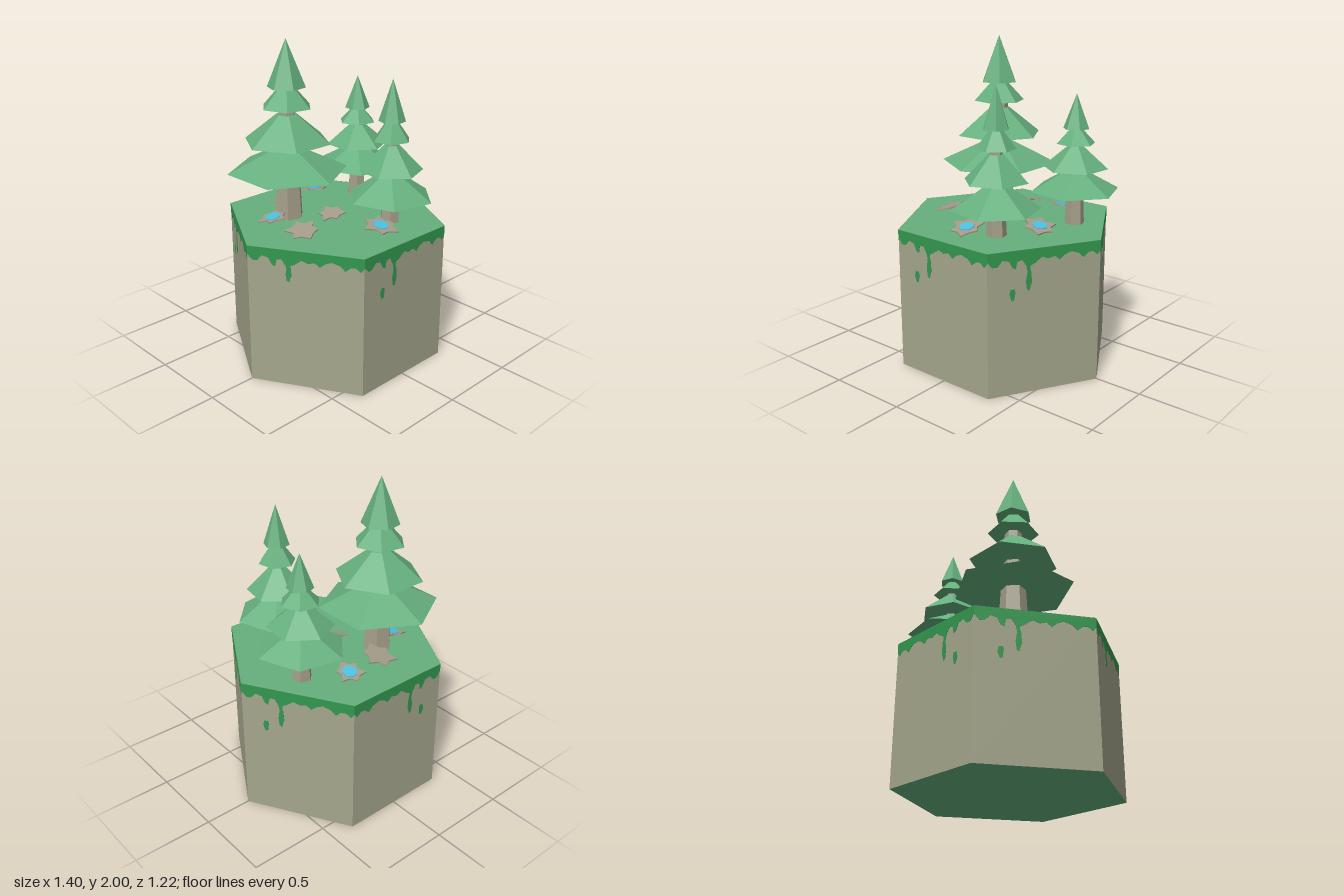
import * as THREE from 'three';

const mat = (name, color, side = THREE.FrontSide) => {
  const m = new THREE.MeshStandardMaterial({ color, side, flatShading: true });
  m.name = name;
  return m;
};

const TOP = 0.89, R = 0.7, APOTHEM = R * Math.sqrt(3) / 2;
const rad = THREE.MathUtils.degToRad;

export function createModel() {
  const green = mat('leafGreen', 0x66b07e);
  const moss = mat('mossGreen', 0x33984f);
  const stone = mat('stone', 0xa5a68c);
  const bark = mat('bark', 0xa59f8a);
  const rock = mat('rock', 0xa39a88);
  const water = mat('water', 0x4dbfdf);

  const model = new THREE.Group();
  const add = (parent, name, geometry, material) => {
    const mesh = new THREE.Mesh(geometry, material);
    mesh.name = name;
    parent.add(mesh);
    return mesh;
  };

  // Six-sided drum whose first corner sits at an angle measured from +x to +z
  const drum = (rTop, rBottom, y0, y1, angle) =>
    new THREE.CylinderGeometry(rTop, rBottom, y1 - y0, 6, 1, false, rad(90 - angle))
      .translate(0, (y0 + y1) / 2, 0);

  // Stone block with green top and bottom
  add(model, 'block', drum(R, R, 0, TOP, 0), [stone, green, green]);

  // Moss edge: x runs -0.35..0.35 along a side, y is the drop below the rim
  const edge = [
    [0.35, 0.06], [0.33, 0.085], [0.30, 0.06], [0.27, 0.065], [0.24, 0.09], [0.21, 0.06],
    [0.16, 0.045], [0.12, 0.06], [0.09, 0.085], [0.06, 0.06], [0.02, 0.07], [-0.02, 0.055],
    [-0.06, 0.085], [-0.09, 0.10], [-0.10, 0.17], [-0.115, 0.10], [-0.14, 0.06], [-0.17, 0.065],
    [-0.18, 0.11], [-0.20, 0.10], [-0.22, 0.06], [-0.26, 0.05], [-0.29, 0.085], [-0.32, 0.085],
    [-0.35, 0.05],
  ];
  const drip = [[0, 0.10], [-0.012, 0.14], [-0.02, 0.19], [-0.014, 0.24], [0, 0.25], [0.016, 0.2], [0.012, 0.14]];
  const blob = [[-0.012, 0.23], [-0.02, 0.26], [-0.006, 0.30], [0.01, 0.295], [0.016, 0.25], [0.012, 0.23]];

  const plate = (points, dx, scale, flip) => {
    const pts = points.map(([x, d]) => new THREE.Vector2((x + dx) * flip, -d * scale));
    return new THREE.ExtrudeGeometry(new THREE.Shape(pts), { depth: 0.003, bevelEnabled: false });
  };

  for (let i = 0; i < 6; i++) {
    const side = new THREE.Group();
    side.name = 'mossSide';
    side.rotation.y = i * Math.PI / 3;
    const face = new THREE.Group();
    face.position.set(0, TOP, APOTHEM - 0.001);
    side.add(face);
    const flip = i === 3 ? -1 : 1;
    const drop = i === 5 ? 0.8 : 1;
    add(face, 'mossEdge', plate([[-0.35, 0], [0.35, 0], ...edge], 0, 1, flip), moss);
    add(face, 'mossDrip', plate(drip, -0.097, drop, flip), moss);
    if (i !== 5) add(face, 'mossBlob', plate(blob, -0.198, 1, flip), moss);
    model.add(side);
  }

  // Trees: each tier is [bottom y, top y, bottom radius, top radius, corner angle]
  const trees = [
    {
      x: -0.215, z: -0.185, trunk: [0.095, 0.045, 1.73], tiers: [
        [1.19, 1.335, 0.375, 0.075, 30], [1.375, 1.545, 0.275, 0.065, 0],
        [1.59, 1.705, 0.16, 0.055, 10], [1.71, 2.0, 0.118, 0, 50]],
    },
    {
      x: 0.175, z: 0.315, trunk: [0.062, 0.032, 1.54], tiers: [
        [1.05, 1.2, 0.27, 0.055, 13], [1.22, 1.38, 0.197, 0.045, 40],
        [1.41, 1.52, 0.118, 0.04, 20], [1.525, 1.78, 0.082, 0, 50]],
    },
    {
      x: 0.387, z: -0.18, trunk: [0.062, 0.032, 1.49], tiers: [
        [1.1, 1.225, 0.275, 0.055, 10], [1.24, 1.375, 0.2, 0.045, 35],
        [1.39, 1.475, 0.12, 0.04, 10], [1.48, 1.69, 0.08, 0, 40]],
    },
  ];
  for (const { x, z, trunk, tiers } of trees) {
    const tree = new THREE.Group();
    tree.name = 'tree';
    tree.position.set(x, 0, z);
    add(tree, 'trunk', drum(trunk[1], trunk[0], TOP - 0.01, trunk[2], 15), bark);
    for (const [y0, y1, rBottom, rTop, angle] of tiers)
      add(tree, 'foliageTier', drum(rTop, rBottom, y0, y1, angle), green);
    model.add(tree);
  }

  // Ragged rock slabs tilted outward, some with a puddle: [x, z, radius, turn, puddle]
  const slabs = [
    [0.17, -0.36, 0.092, 0.4, true], [0.33, 0.1, 0.11, 1.1, true], [-0.37, 0.12, 0.105, 0.2, false],
    [0.01, 0.39, 0.11, 0.9, true], [-0.365, -0.16, 0.09, 0.6, true], [-0.09, -0.33, 0.11, 0.3, false],
    [-0.06, 0.04, 0.085, 1.3, false],
  ];
  const lobes = [1, 0.62, 0.95, 0.7, 1.1, 0.6, 0.9, 0.68, 1.05, 0.72, 0.85, 0.6];
  for (const [x, z, r, turn, puddle] of slabs) {
    const slab = new THREE.Group();
    slab.name = 'rockSlab';
    slab.position.set(x, TOP + 0.032, z);
    const len = Math.hypot(x, z);
    slab.quaternion.setFromUnitVectors(new THREE.Vector3(0, 1, 0),
      new THREE.Vector3(x / len * 0.24, 1, z / len * 0.24).normalize());
    const outline = lobes.map((k, i) => {
      const a = turn + i * Math.PI * 2 / lobes.length;
      return new THREE.Vector2(Math.cos(a) * r * k, Math.sin(a) * r * k);
    });
    add(slab, 'rock', new THREE.ExtrudeGeometry(new THREE.Shape(outline), { depth: 0.008, bevelEnabled: false })
      .rotateX(-Math.PI / 2), rock);
    if (puddle)
      add(slab, 'puddle', new THREE.CylinderGeometry(0.046, 0.046, 0.004, 16).translate(0, 0.01, 0), water);
    model.add(slab);
  }

  return model;
}
